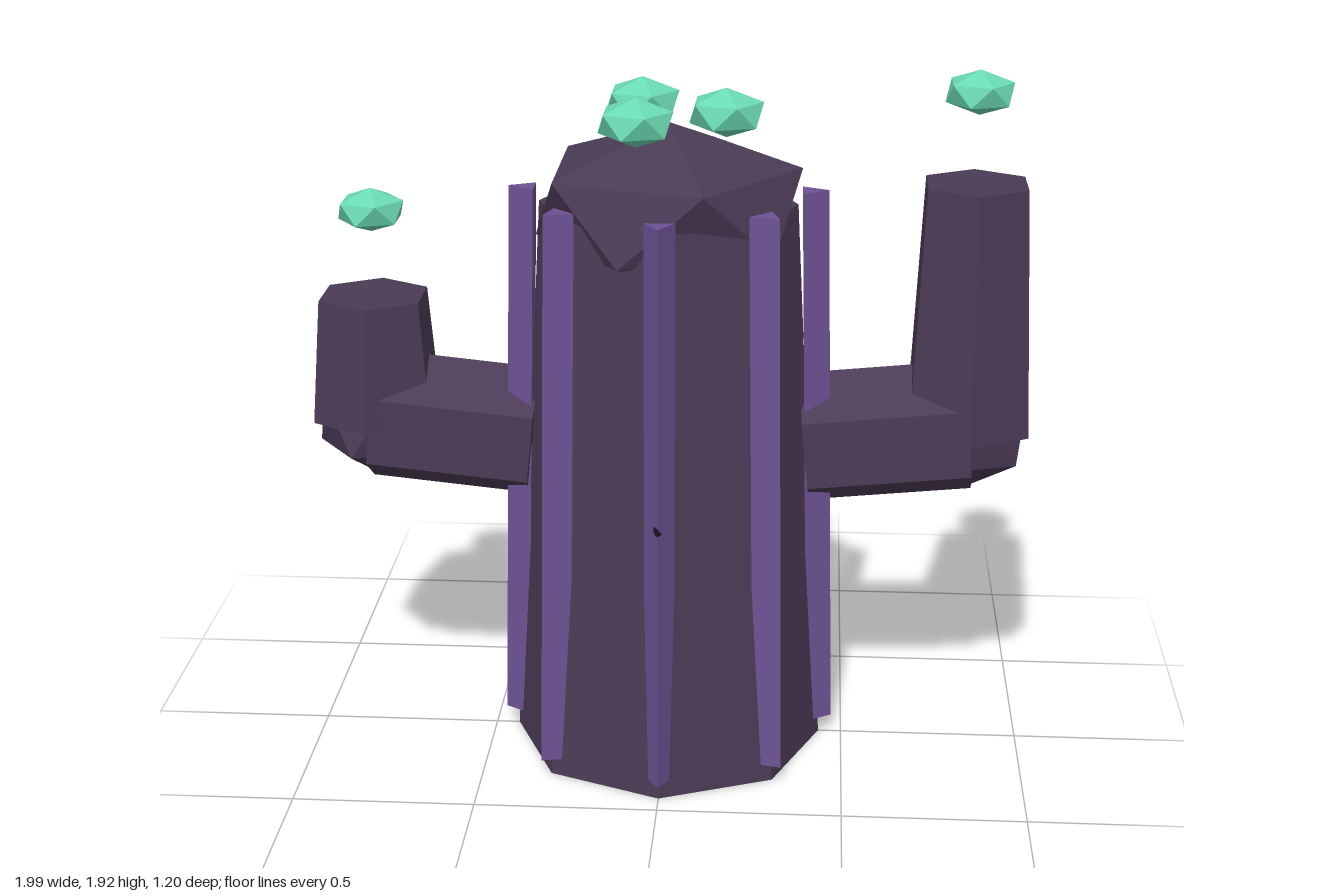
import * as THREE from 'three';

const mat = (name, color) => Object.assign(
  new THREE.MeshStandardMaterial({ color, flatShading: true }), { name });

// Squashed icosahedron standing on a vertex, with an upper ring corner towards +x
function gem(radius, squash = 1) {
  return new THREE.IcosahedronGeometry(radius, 0)
    .rotateZ(-Math.atan2(0.5257, 0.8507))
    .scale(1, squash, 1);
}

export function createModel() {
  const model = new THREE.Group();
  model.name = 'cactus';
  const skin = mat('dark plum skin', 0x4b3b56);
  const ribColor = mat('violet ribs', 0x6e5295);
  const petal = mat('mint flowers', 0x6adab2);
  const thornColor = mat('dark thorns', 0x2c2233);

  const add = (name, geometry, material, x = 0, y = 0, z = 0, parent = model) => {
    const mesh = new THREE.Mesh(geometry, material);
    mesh.name = name;
    mesh.position.set(x, y, z);
    parent.add(mesh);
    return mesh;
  };

  // Eight-sided tapering trunk and its faceted cap
  add('trunk', new THREE.CylinderGeometry(0.35, 0.435, 1.57, 8), skin, 0, 0.785, 0);
  add('cap', gem(0.403, 0.54), skin, 0, 1.573, 0);

  // Three-sided ribs along the trunk corners, leaning inwards with the taper
  const rib = new THREE.CylinderGeometry(0.047, 0.047, 1.56, 3)
    .rotateX(-0.0245)
    .translate(0, 0.83, 0.404);
  for (let i = 0; i < 8; i++) {
    add('rib', rib, ribColor).rotation.y = (i * Math.PI) / 4;
  }

  // Thin thorns on the front and back
  const thorn = new THREE.ConeGeometry(0.012, 0.21, 4)
    .rotateX(Math.atan2(0.18, 0.1))
    .translate(0, 0.824, 0.507);
  for (const turn of [0, Math.PI]) add('thorn', thorn, thornColor).rotation.y = turn;

  // Arms: a sloping lower tube, a faceted elbow, an upright tube and a flower
  const armZ = -0.087;
  const arms = [
    { name: 'leftArm', side: 1, top: 1.615, topRadius: 0.155, flowerY: 1.863 },
    { name: 'rightArm', side: -1, top: 1.27, topRadius: 0.16, flowerY: 1.513 },
  ];
  for (const { name, side, top, topRadius, flowerY } of arms) {
    const arm = new THREE.Group();
    arm.name = name;
    model.add(arm);
    const x = side * 0.83;
    const dx = 0.45, dy = 0.045;
    const lower = new THREE.CylinderGeometry(0.19, 0.19, Math.hypot(dx, dy), 6)
      .rotateY(Math.PI / 2)
      .rotateZ(-side * Math.atan2(dx, dy));
    add('lowerArm', lower, skin, side * 0.605, 0.8975, armZ, arm);
    add('elbow', gem(0.185), skin, x, 0.92, armZ, arm);
    const height = top - 0.918;
    add('upperArm', new THREE.CylinderGeometry(topRadius, 0.19, height, 6), skin,
      x, 0.918 + height / 2, armZ, arm);
    add('armFlower', gem(0.102, 0.6), petal, side * 0.827, flowerY, armZ, arm);
  }

  // Three flowers around the crown
  for (let i = 0; i < 3; i++) {
    const a = (i * Math.PI * 2) / 3;
    add('crownFlower', gem(0.111, 0.6), petal, 0.155 * Math.cos(a), 1.818, 0.155 * Math.sin(a));
  }
  return model;
}
